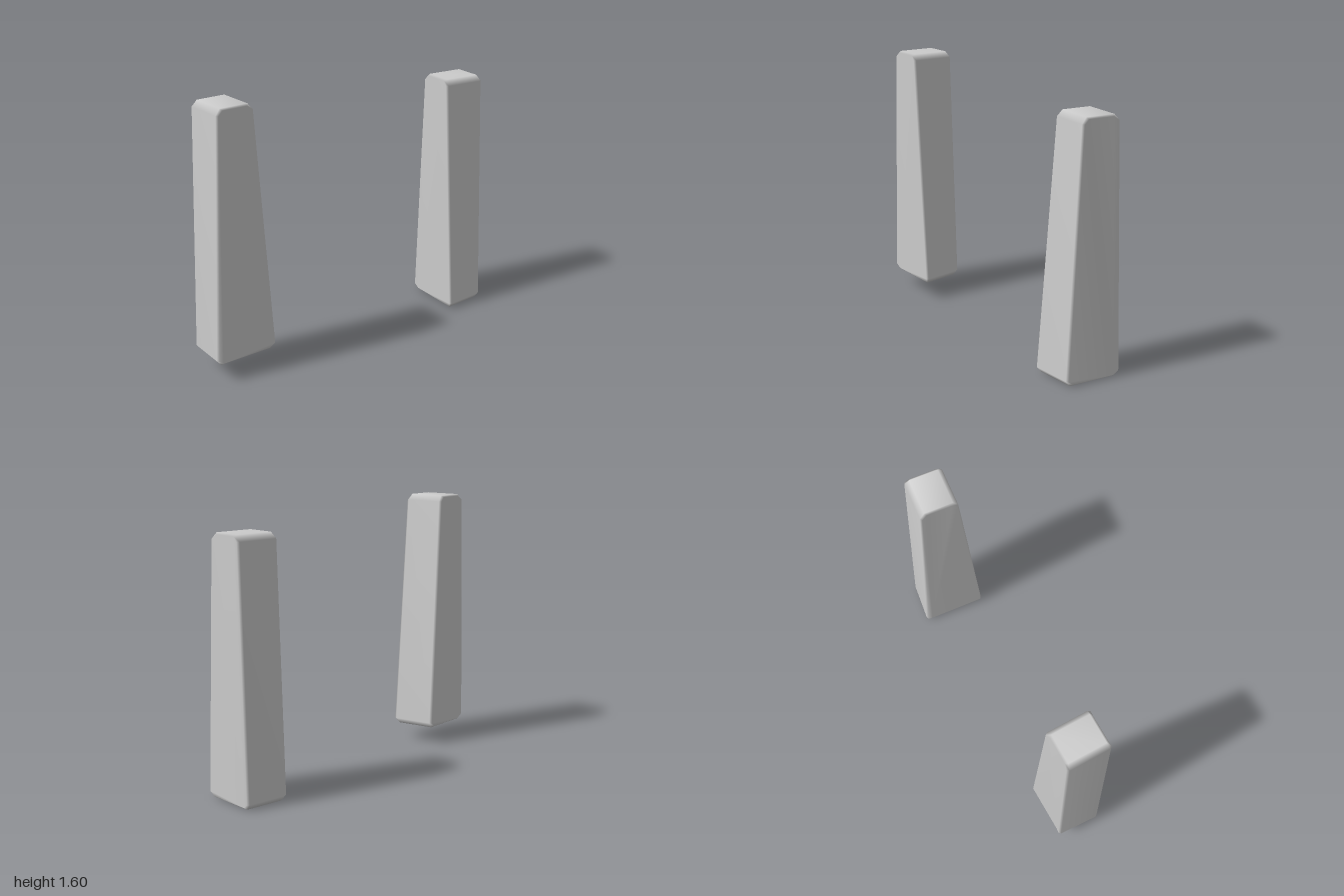
import * as THREE from 'three';

const H = 1.49; // pillar height
const T = 0.134; // half thickness

// Chamfered, tapering outline in the x/y plane, counterclockwise.
function outline(centre, half, inset) {
  const topC = -0.011, topHalf = 0.117;
  const b = half - inset, t = topHalf - inset;
  return [
    [centre - b + 0.03, inset], [centre + b - 0.03, inset],
    [centre + b, 0.035], [topC + t, H - 0.035],
    [topC + t - 0.03, H - inset], [topC - t + 0.03, H - inset],
    [topC - t, H - 0.035], [centre - b, 0.035],
  ];
}

// Loft of four outlines through the thickness: bevel, body, body, bevel.
function pillarGeometry() {
  const slices = [
    { z: -T, inset: 0.01 }, { z: -T + 0.014, inset: 0 },
    { z: T - 0.014, inset: 0 }, { z: T, inset: 0.01 },
  ];
  const positions = [], index = [], n = 8;
  for (const { z, inset } of slices) {
    const k = (z + T) / (2 * T); // one side is wider at the foot than the other
    outline(0.014 * k, 0.172 + 0.028 * k, inset).forEach(([x, y], j) => {
      const atEnd = j === 0 || j === 1 || j === 4 || j === 5;
      positions.push(x, y, atEnd ? z * 0.95 : z);
    });
  }
  for (let i = 0; i < slices.length - 1; i++) {
    for (let j = 0; j < n; j++) {
      const a = i * n + j, b = i * n + (j + 1) % n;
      index.push(a, b, b + n, a, b + n, a + n);
    }
  }
  // End caps
  const last = (slices.length - 1) * n;
  for (let j = 1; j < n - 1; j++) {
    index.push(0, j + 1, j);
    index.push(last, last + j, last + j + 1);
  }
  const geometry = new THREE.BufferGeometry();
  geometry.setAttribute('position', new THREE.Float32BufferAttribute(positions, 3));
  geometry.setIndex(index);
  geometry.computeVertexNormals();
  return geometry;
}

export function createModel() {
  const model = new THREE.Group();
  model.name = 'pillarPair';
  const material = new THREE.MeshStandardMaterial({ color: 0xcccccc });
  const geometry = pillarGeometry();

  const addPillar = (name, x, y, z, turn) => {
    const pillar = new THREE.Mesh(geometry, material);
    pillar.name = name;
    pillar.position.set(x, y, z);
    pillar.rotation.y = turn;
    model.add(pillar);
  };

  // Two copies of one pillar, the front one raised and turned a quarter
  addPillar('frontPillar', -0.025, 0.11, 0.814, Math.PI / 2);
  addPillar('backPillar', 0, 0.005, -0.853, -0.1);
  return model;
}
